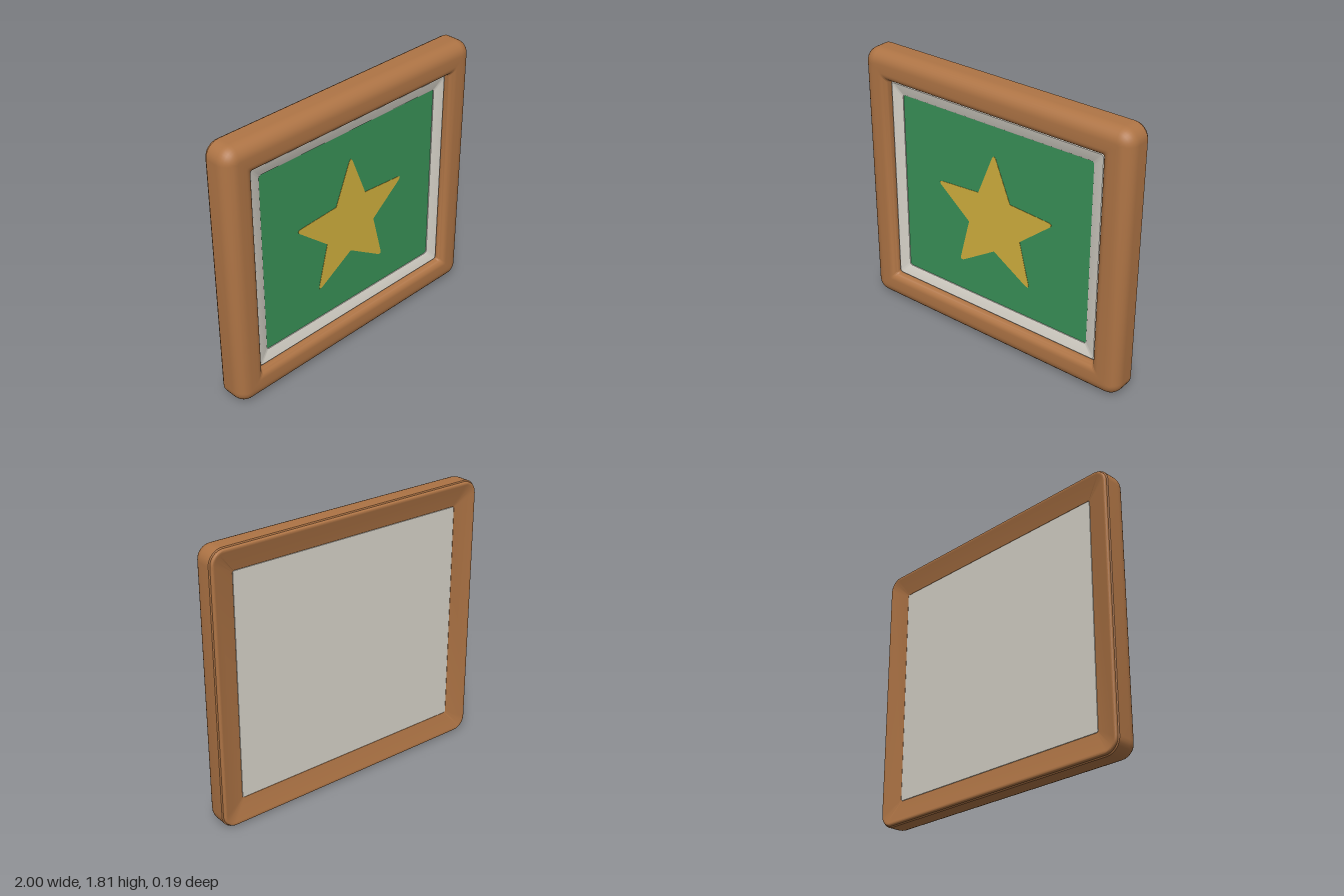
import * as THREE from 'three';
import { toCreasedNormals } from 'three/addons/utils/BufferGeometryUtils.js';

const HALF_W = 1, HALF_H = 0.905;

// Rounded rectangle lying `inset` inside the outer edge, counter-clockwise from the front
function outline(inset, radius, steps = 8) {
  const points = [];
  const w = HALF_W - inset - radius, h = HALF_H - inset - radius;
  [[1, 1], [-1, 1], [-1, -1], [1, -1]].forEach(([sx, sy], corner) => {
    for (let k = 0; k <= steps; k++) {
      const a = (corner + k / steps) * Math.PI / 2;
      points.push(new THREE.Vector2(sx * w + radius * Math.cos(a), sy * h + radius * Math.sin(a)));
    }
  });
  return points;
}

// Sweeps a profile of [inset, z] points around the rectangle
function moulding(profile, cornerRadius, minRadius, crease) {
  const position = [], index = [];
  let n = 0;
  for (const [inset, z] of profile) {
    const ring = outline(inset, Math.max(cornerRadius - inset, minRadius));
    n = ring.length;
    ring.forEach(p => position.push(p.x, p.y, z));
  }
  for (let i = 0; i < profile.length - 1; i++) {
    for (let j = 0; j < n; j++) {
      const a = i * n + j, b = i * n + (j + 1) % n;
      index.push(a, b, b + n, a, b + n, a + n);
    }
  }
  const geometry = new THREE.BufferGeometry();
  geometry.setAttribute('position', new THREE.Float32BufferAttribute(position, 3));
  geometry.setIndex(index);
  return toCreasedNormals(geometry, crease);
}

function arc(inset, z, rInset, rZ, from, to, steps = 8) {
  return Array.from({ length: steps + 1 }, (_, k) => {
    const a = from + (to - from) * k / steps;
    return [inset - rInset * Math.cos(a), z + rZ * Math.sin(a)];
  });
}

// Five-pointed star with slightly blunted tips
function starShape(outer, inner, blunt) {
  const points = [];
  for (let k = 0; k < 5; k++) {
    const a = Math.PI / 2 + k * Math.PI * 2 / 5, b = a + Math.PI / 5;
    for (const s of [-1, 0, 1]) {
      const r = outer - Math.abs(s) * 0.012;
      points.push(new THREE.Vector2(r * Math.cos(a) - s * blunt * Math.sin(a), r * Math.sin(a) + s * blunt * Math.cos(a)));
    }
    points.push(new THREE.Vector2(inner * Math.cos(b), inner * Math.sin(b)));
  }
  return new THREE.Shape(points);
}

export function createModel() {
  const wood = new THREE.MeshStandardMaterial({ name: 'wood brown', color: 0xae7445 });
  const cream = new THREE.MeshStandardMaterial({ name: 'warm grey', color: 0xd6d2c8 });
  const green = new THREE.MeshStandardMaterial({ name: 'picture green', color: 0x389157 });
  const gold = new THREE.MeshStandardMaterial({ name: 'star gold', color: 0xd1b03e });

  const model = new THREE.Group();
  model.name = 'framedPicture';
  const add = (name, geometry, material, z = 0) => {
    const mesh = new THREE.Mesh(geometry, material);
    mesh.name = name;
    mesh.position.set(0, HALF_H, z);
    model.add(mesh);
  };

  // Frame: dished back, stepped rear lip, rounded front, inner wall
  add('frame', moulding([
    [0.165, -0.055], [0.16, -0.062], [0.03, -0.092],
    ...arc(0.02, -0.085, 0.012, 0.01, -Math.PI / 2, 0, 4),
    [0.008, -0.078], [0, -0.074],
    ...arc(0.085, 0.01, 0.085, 0.085, 0, Math.PI / 2),
    ...arc(0.14, 0.045, 0.05, 0.05, Math.PI / 2, Math.PI),
    [0.19, 0.0],
  ], 0.095, 0.015, 0.6), wood);

  // Mat: bevelled border sloping in towards the picture
  add('mat', moulding([
    [0.275, 0.015], [0.275, 0.028], [0.27, 0.031], [0.202, 0.048], [0.196, 0.044], [0.194, 0.0],
  ].reverse(), 0, 0.018, 0.5), cream);

  // Picture and its star
  add('picture', new THREE.ShapeGeometry(new THREE.Shape(outline(0.27, 0.02))), green, 0.022);
  add('star', new THREE.ExtrudeGeometry(starShape(0.462, 0.212, 0.013),
    { depth: 0.002, bevelEnabled: false }).translate(0, -0.035, 0), gold, 0.022);

  // Backing board set into the rear
  add('backBoard', new THREE.ExtrudeGeometry(new THREE.Shape(outline(0.163, 0.008)),
    { depth: 0.05, bevelEnabled: false }), cream, -0.063);

  return model;
}
